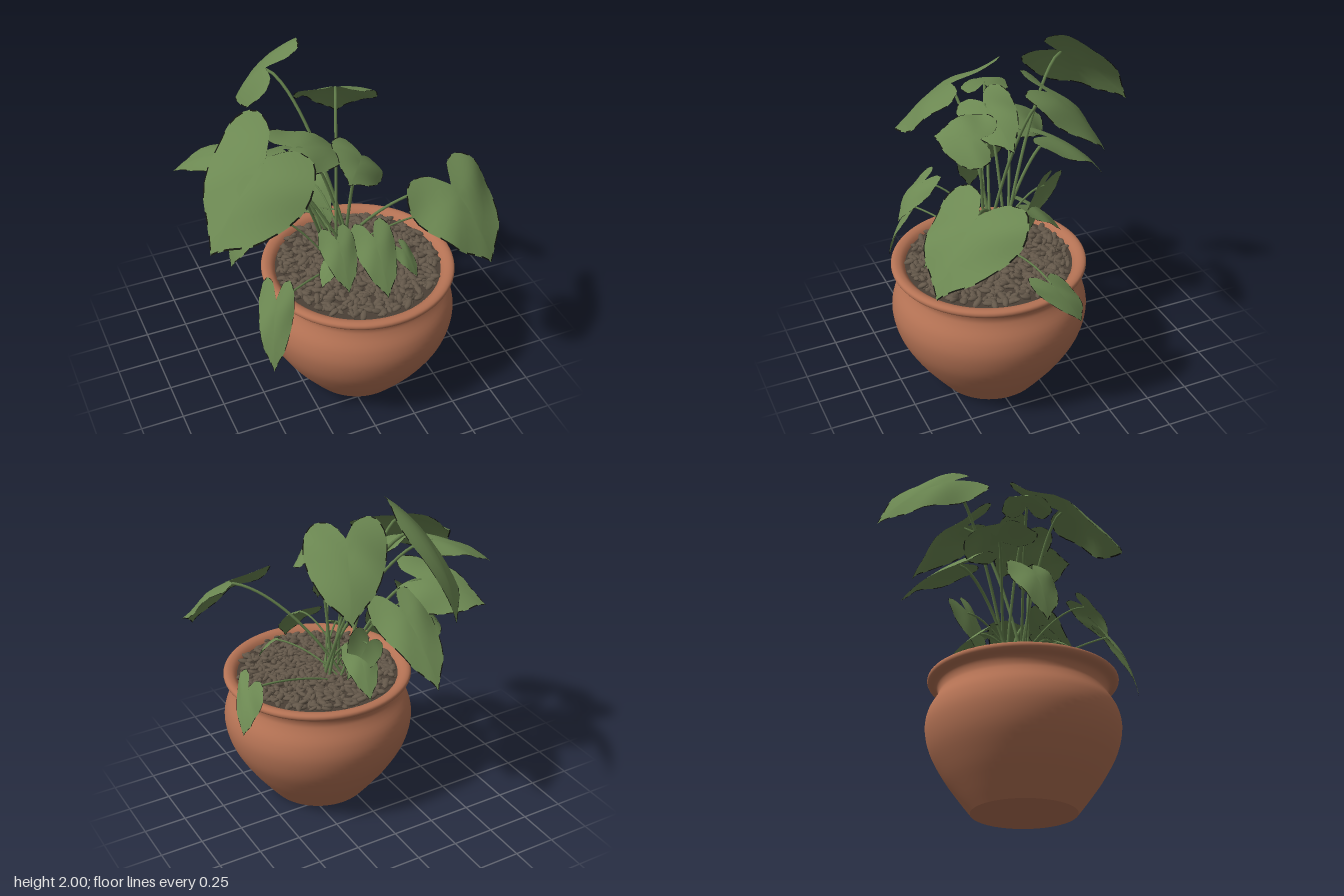
import * as THREE from 'three';
import { mergeGeometries } from 'three/addons/utils/BufferGeometryUtils.js';

const mat = (name, color, side = THREE.FrontSide) => {
  const m = new THREE.MeshStandardMaterial({ color, side });
  m.name = name;
  return m;
};
const add = (parent, name, geo, material) => {
  const m = new THREE.Mesh(geo, material);
  m.name = name;
  parent.add(m);
  return m;
};
const spline = (points, n) =>
  new THREE.SplineCurve(points.map((p) => new THREE.Vector2(...p))).getPoints(n);

// Heart outline, right half from tip to notch (across, along), then mirrored
const half = spline([[0, 1], [0.2, 0.87], [0.64, 0.63], [0.95, 0.24], [0.98, -0.06],
  [0.72, -0.27], [0.3, -0.24], [0, -0.02]], 22);
const outline = [...half, ...half.slice(1, -1).reverse().map((p) => new THREE.Vector2(-p.x, p.y))];
const rings = [0.2, 0.4, 0.6, 0.8, 0.975, 1];

// Arched, wavy heart blade from stem joint, tip and half-width vector;
// group 0 is the green blade, group 1 the withered patches of its rim
function bladeGeometry(base, tip, side) {
  const along = tip.clone().sub(base);
  const up = along.clone().cross(side).normalize();
  const flip = up.y < 0;
  if (flip) up.negate();
  const length = along.length(), width = side.length();
  const centre = 0.12, count = outline.length;
  const pos = [], green = [], withered = [];
  const put = (w, s) => {
    const lift = length * 0.3 * s * (1 - s) - width * 0.2 * w * w
      + width * 0.08 * Math.sin(7 * s + 3 * w) * Math.abs(w);
    const p = base.clone().addScaledVector(along, s).addScaledVector(side, w).addScaledVector(up, lift);
    pos.push(p.x, p.y, p.z);
  };
  put(0, centre);
  for (const k of rings)
    for (const o of outline) put(o.x * k, centre + (o.y - centre) * k);
  const tri = (list, a, b, c) => (flip ? list.push(a, b, c) : list.push(a, c, b));
  for (let i = 0; i < count; i++) {
    const j = (i + 1) % count;
    tri(green, 0, 1 + i, 1 + j);
    for (let r = 0; r < rings.length - 1; r++) {
      const a = 1 + r * count, b = a + count;
      const list = r === rings.length - 2 && Math.sin(i * 2.3) > -0.4 ? withered : green;
      tri(list, a + i, b + i, b + j);
      tri(list, a + i, b + j, a + j);
    }
  }
  const g = new THREE.BufferGeometry();
  g.setAttribute('position', new THREE.Float32BufferAttribute(pos, 3));
  g.setIndex([...green, ...withered]);
  g.addGroup(0, green.length, 0);
  g.addGroup(green.length, withered.length, 1);
  g.computeVertexNormals();
  return g;
}

// Stem arching from the crown of the plant up to a leaf
function stemGeometry(start, joint, radius) {
  const span = joint.clone().sub(start);
  const control = (out, rise) =>
    new THREE.Vector3(span.x * out, span.y * rise + 0.02, span.z * out).add(start);
  const path = new THREE.CubicBezierCurve3(start, control(0.25, 0.5), control(0.7, 1), joint);
  return new THREE.TubeGeometry(path, 20, radius, 6);
}

export function createModel() {
  const root = new THREE.Group();
  root.name = 'pottedPlant';
  const terracotta = mat('terracotta', 0xb47254, THREE.DoubleSide);
  const leafGreen = mat('leafGreen', 0x6c8852, THREE.DoubleSide);
  const witheredBlack = mat('witheredBlack', 0x14150f, THREE.DoubleSide);
  const stemGreen = mat('stemGreen', 0x64804c);
  const pebbleBrown = mat('pebbleBrown', 0x64584a);
  const soilBrown = mat('soilBrown', 0x4a4036);

  // Pot
  const pot = new THREE.Group();
  pot.name = 'pot';
  pot.position.set(0.11, 0, 0.22);
  root.add(pot);
  const wall = spline([[0.3, 0], [0.37, 0.09], [0.455, 0.21], [0.53, 0.35], [0.56, 0.48],
    [0.545, 0.58], [0.5, 0.66], [0.487, 0.7], [0.5, 0.74], [0.54, 0.758], [0.553, 0.775],
    [0.548, 0.793], [0.525, 0.8], [0.495, 0.79], [0.472, 0.76], [0.468, 0.72]], 64);
  add(pot, 'potWall', new THREE.LatheGeometry(wall, 72), terracotta);
  const bottom = add(pot, 'potBottom', new THREE.CircleGeometry(0.3, 72), terracotta);
  bottom.rotation.x = Math.PI / 2;
  const soil = add(pot, 'soil', new THREE.CircleGeometry(0.475, 48), soilBrown);
  soil.rotation.x = -Math.PI / 2;
  soil.position.y = 0.768;

  // Pebbles scattered in a sunflower pattern with random turns
  let seed = 7;
  const rnd = () => (seed = (seed * 16807) % 2147483647) / 2147483647;
  const stones = [];
  const pebble = new THREE.SphereGeometry(1, 8, 5);
  const stoneCount = 720;
  for (let i = 0; i < stoneCount; i++) {
    const r = 0.455 * Math.sqrt((i + 0.5) / stoneCount), a = i * 2.39996 + rnd() * 0.2;
    const s = 0.85 + rnd() * 0.4;
    const turn = new THREE.Quaternion().setFromEuler(
      new THREE.Euler((rnd() - 0.5) * 0.8, rnd() * 6.28, (rnd() - 0.5) * 0.8));
    stones.push(pebble.clone().applyMatrix4(new THREE.Matrix4().compose(
      new THREE.Vector3(r * Math.cos(a), 0.775 + rnd() * 0.015, r * Math.sin(a)), turn,
      new THREE.Vector3(0.031 * s, 0.012 * s, 0.016 * s))));
  }
  add(pot, 'pebbles', mergeGeometries(stones), pebbleBrown);

  // A leaf with its stem; stems spread around the crown
  let grown = 0;
  const addLeaf = (name, base, tip, side) => {
    const leaf = new THREE.Group();
    leaf.name = name;
    root.add(leaf);
    add(leaf, 'blade', bladeGeometry(base, tip, side), [leafGreen, witheredBlack]);
    const a = 2.4 * grown++;
    const start = new THREE.Vector3(0.04 + 0.07 * Math.cos(a), 0.76, 0.14 + 0.07 * Math.sin(a));
    const radius = base.y > 1.3 ? 0.009 : 0.006;
    add(leaf, 'stem', stemGeometry(start, base.clone().lerp(tip, 0.04), radius), stemGreen);
  };

  // Tilted leaves: stem joint, tip, half-width vector
  const tiltedLeaves = [
    [[-0.21, 1.83, -0.35], [-0.16, 1.47, -0.78], [0.16, 0.15, -0.05]],
    [[0.12, 1.75, -0.14], [0.25, 1.39, -0.43], [0.22, -0.01, 0.07]],
    [[-0.36, 1.4, -0.12], [-0.65, 1.27, -0.37], [0.1, -0.08, -0.16]],
    [[-0.5, 1.57, -0.02], [-0.82, 1.42, -0.17], [-0.05, 0, 0.13]],
    [[-0.43, 1.64, 0.22], [-0.8, 1.24, 0.38], [0.12, -0.1, 0.28]],
    [[-0.22, 1.59, 0.1], [0.11, 1.42, 0.06], [0.02, -0.05, 0.16]],
    [[0.1, 1.55, 0.26], [-0.06, 1.53, 0.46], [0.11, -0.1, 0.08]],
    [[0.55, 1.36, 0.46], [0.67, 1, 0.74], [0.27, 0, -0.12]],
    [[-0.48, 0.88, 0.46], [-0.55, 0.51, 0.6], [0.08, 0, 0.06]],
    [[-0.46, 1.2, 0.03], [-0.59, 0.84, 0.05], [0.03, 0.02, 0.15]],
    [[0.63, 0.88, 0.07], [0.73, 0.67, -0.06], [0.02, 0.02, 0.11]],
    [[0, 1.12, -0.18], [0.06, 0.82, -0.04], [0.05, 0.045, 0.08]],
  ];
  for (const points of tiltedLeaves)
    addLeaf('tiltedLeaf', ...points.map((p) => new THREE.Vector3(...p)));

  // Level hanging leaves: stem joint x, y, z, then heading, droop angle and length
  const hangingLeaves = [
    [-0.15, 1.33, -0.27, -3.1, 0.73, 0.5],
    [-0.14, 1.22, 0.5, 0, 0.94, 0.28],
    [0, 1, -0.08, 2.94, 0.8, 0.28],
    [0.3, 0.95, 0.4, 0.56, 0.95, 0.18],
    [-0.1, 0.98, 0.36, -0.96, 0.78, 0.17],
    [0.12, 1.09, 0.4, 0, 0.9, 0.34],
  ];
  for (const [x, y, z, heading, droop, length] of hangingLeaves) {
    const base = new THREE.Vector3(x, y, z);
    const tip = new THREE.Vector3(0, -Math.sin(droop), Math.cos(droop))
      .applyAxisAngle(THREE.Object3D.DEFAULT_UP, heading).multiplyScalar(length).add(base);
    const side = new THREE.Vector3(0.36 * length, 0, 0)
      .applyAxisAngle(THREE.Object3D.DEFAULT_UP, heading);
    addLeaf('hangingLeaf', base, tip, side);
  }
  return root;
}
